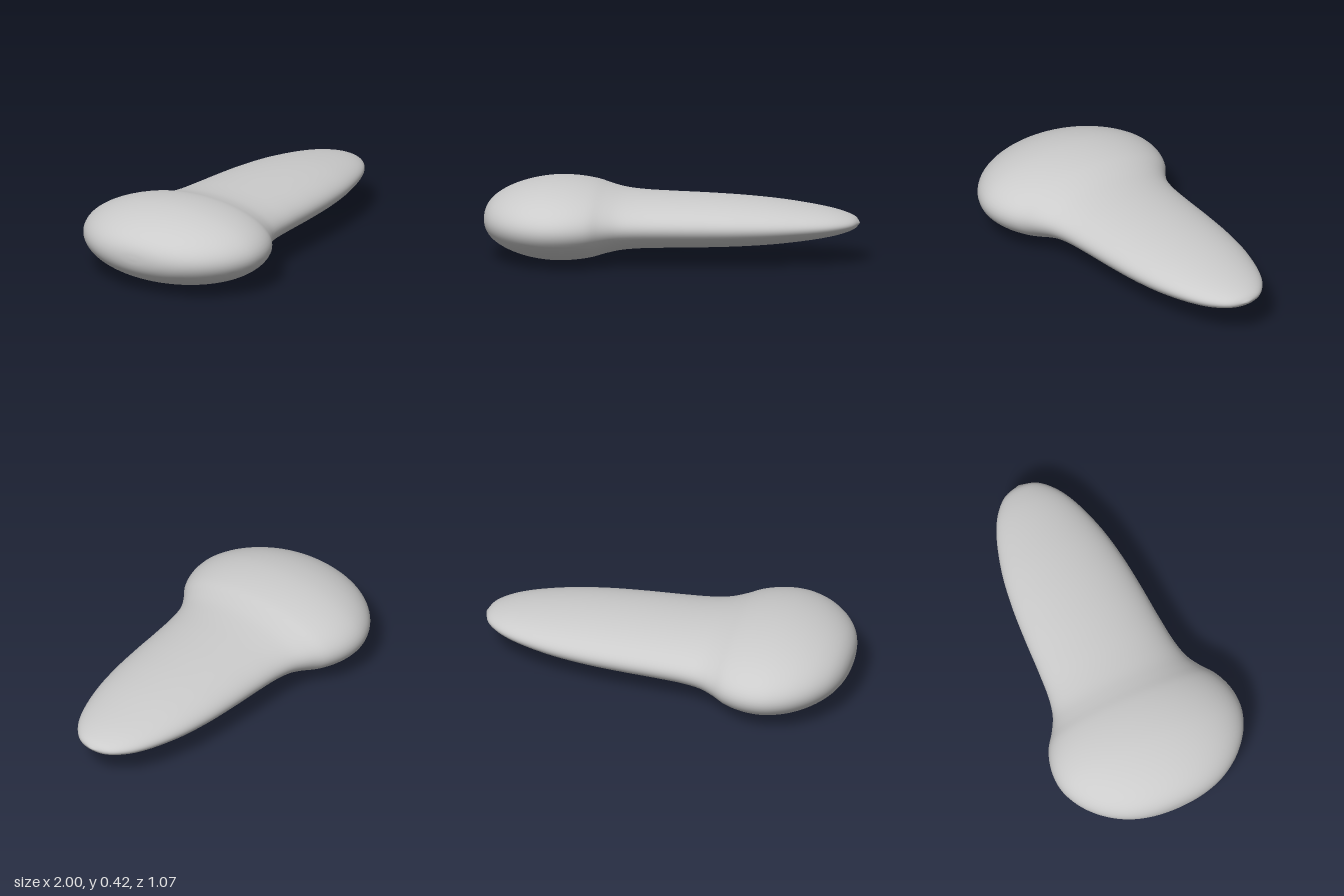
import * as THREE from 'three';
import { mergeVertices } from 'three/addons/utils/BufferGeometryUtils.js';

// Half-width and position along the length, from the wide end to the tip
const PROFILE = [
  [0, -1], [0.1, -0.995], [0.2, -0.976], [0.3, -0.936], [0.4, -0.865],
  [0.48, -0.77], [0.525, -0.67], [0.536, -0.59], [0.525, -0.5], [0.49, -0.41],
  [0.44, -0.34], [0.395, -0.26], [0.37, -0.16], [0.355, 0], [0.343, 0.2],
  [0.325, 0.4], [0.29, 0.6], [0.225, 0.8], [0.168, 0.9], [0.095, 0.97], [0, 1],
];
const CENTRE_Y = 0.212;

export function createModel() {
  const group = new THREE.Group();

  // Smooth profile turned around the long axis
  const curve = new THREE.CatmullRomCurve3(PROFILE.map(([r, x]) => new THREE.Vector3(r, x, 0)));
  const points = curve.getSpacedPoints(96).map((p) => new THREE.Vector2(Math.max(0, p.x), p.y));
  points[0].x = points[96].x = 0;
  let geometry = new THREE.LatheGeometry(points, 72);
  geometry.rotateZ(-Math.PI / 2);

  // Flatten into elliptical sections, slightly thinner towards the tip
  const pos = geometry.attributes.position;
  for (let i = 0; i < pos.count; i++) {
    const t = Math.max(0, pos.getX(i));
    pos.setY(i, CENTRE_Y + pos.getY(i) * (0.391 - 0.07 * t * t));
  }

  // Weld the seam so the shading is continuous
  geometry.deleteAttribute('uv');
  geometry.deleteAttribute('normal');
  geometry = mergeVertices(geometry, 1e-5);
  geometry.computeVertexNormals();

  const body = new THREE.Mesh(geometry, new THREE.MeshStandardMaterial({ color: 0xcccccc }));
  body.name = 'body';
  group.add(body);
  return group;
}
